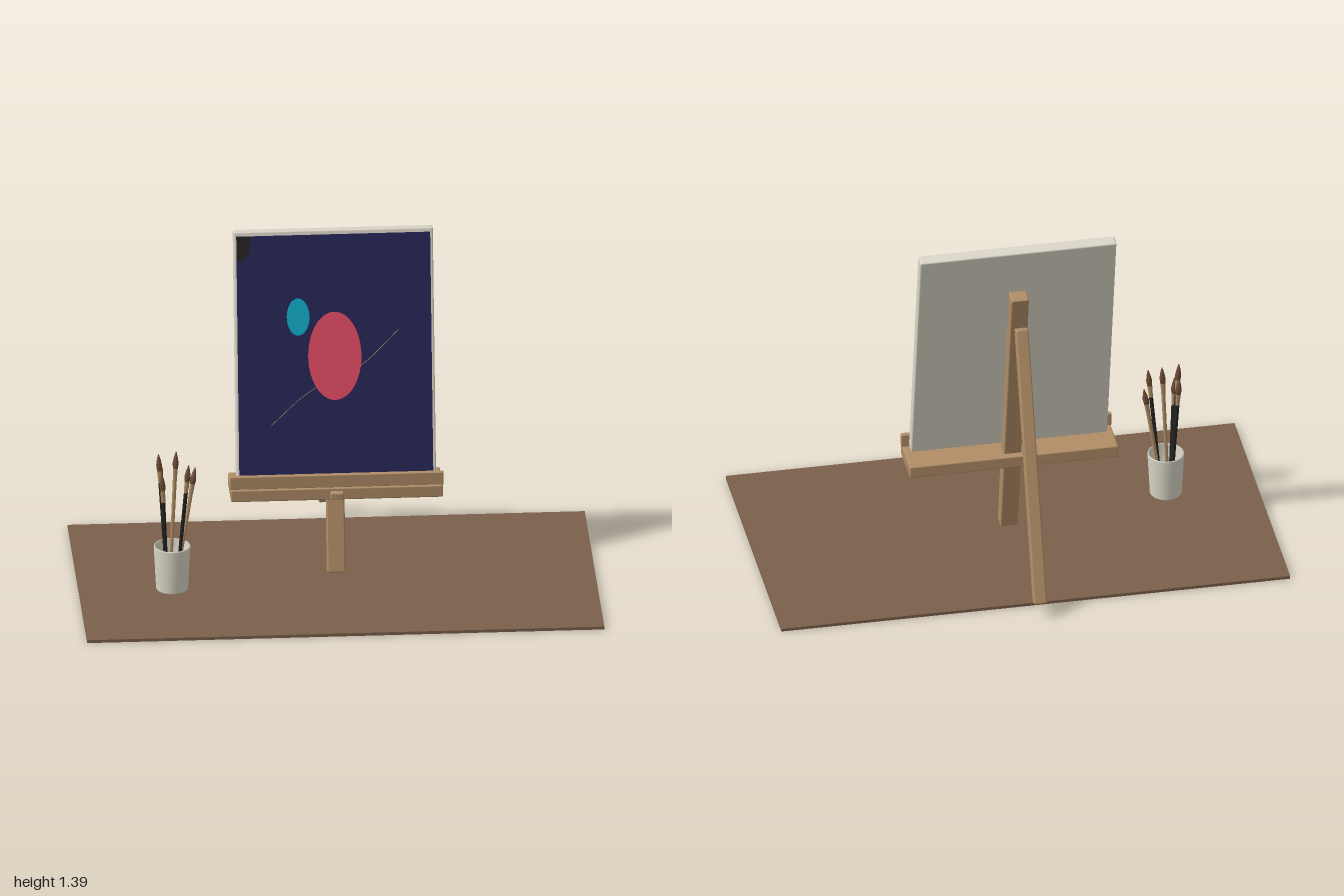
import * as THREE from 'three';
import { RoundedBoxGeometry } from 'three/addons/geometries/RoundedBoxGeometry.js';

const material = (name, color) => {
  const m = new THREE.MeshStandardMaterial({ color });
  m.name = name;
  return m;
};

export function createModel() {
  const wood = material('wood', 0xb08d66);
  const table = material('tableBrown', 0x7a604b);
  const cream = material('cream', 0xdbd6c8);
  const navy = material('navy', 0x252556);
  const red = material('red', 0xe04a62);
  const cyan = material('cyan', 0x10a8c4);
  const black = material('black', 0x232220);
  const bristle = material('bristleBrown', 0x6e4c34);

  const model = new THREE.Group();
  const add = (name, geometry, mat, x = 0, y = 0, z = 0, parent = model) => {
    const mesh = new THREE.Mesh(geometry, mat);
    mesh.name = name;
    mesh.position.set(x, y, z);
    parent.add(mesh);
    return mesh;
  };
  const block = (w, h, d, r = 0.006) => new RoundedBoxGeometry(w, h, d, 2, r);
  const lean = THREE.MathUtils.degToRad(11);

  // Table top
  add('tableTop', new THREE.BoxGeometry(2, 0.012, 1.126), table, 0, 0.006, 0.046);

  // Easel: leaning post, rear strut, shelf with lip and knob
  add('post', block(0.07, 1.19, 0.058), wood, 0, 0.617, -0.063).rotation.x = -lean;
  add('rearStrut', block(0.05, 1.087, 0.044), wood, 0, 0.569, -0.41)
    .rotation.x = THREE.MathUtils.degToRad(20);
  add('shelf', block(0.82, 0.05, 0.182), wood, 0, 0.38, 0.012);
  add('shelfLip', block(0.826, 0.054, 0.02, 0.004), wood, 0, 0.43, 0.085);
  add('knob', block(0.05, 0.028, 0.03, 0.005), wood, 0, 0.379, 0.112);

  // Leaning canvas with painted shapes as thin layers
  const canvas = new THREE.Group();
  canvas.name = 'canvas';
  canvas.position.set(0, 0.9015, -0.049);
  canvas.rotation.x = -lean;
  model.add(canvas);
  add('canvasFrame', block(0.772, 0.995, 0.047), cream, 0, 0, 0, canvas);
  add('paintedField', new THREE.BoxGeometry(0.75, 0.96, 0.004), navy, 0, 0, 0.0245, canvas);

  const layer = (name, shape, mat, x, y) => add(name,
    new THREE.ExtrudeGeometry(shape, { depth: 0.003, bevelEnabled: false, curveSegments: 24 }),
    mat, x, y, 0.0262, canvas);
  const oval = (rx, ry) => new THREE.Shape().absellipse(0, 0, rx, ry, 0, Math.PI * 2);
  layer('redOval', oval(0.103, 0.174), red, 0, 0);
  layer('cyanOval', oval(0.044, 0.073), cyan, -0.14, 0.157);
  const corner = new THREE.Shape();
  corner.moveTo(-0.375, 0.48);
  corner.lineTo(-0.375, 0.381);
  corner.bezierCurveTo(-0.345, 0.381, -0.32, 0.41, -0.32, 0.455);
  corner.lineTo(-0.32, 0.48);
  layer('darkCorner', corner, black, 0, 0);

  // Fine curved stroke across the painting
  const stroke = new THREE.CatmullRomCurve3([
    [-0.25, -0.27], [-0.1, -0.14], [0.1, -0.04], [0.25, 0.1],
  ].map(([x, y]) => new THREE.Vector3(x, y, 0.0268)));
  add('fineStroke', new THREE.TubeGeometry(stroke, 24, 0.0012, 5), wood, 0, 0, 0, canvas);

  // Hollow brush pot
  const profile = [[0, 0.022], [0.058, 0.022], [0.062, 0.027], [0.071, 0.2], [0.069, 0.205],
    [0.065, 0.203], [0.056, 0.035], [0, 0.035]].map(([r, y]) => new THREE.Vector2(r, y));
  add('brushPot', new THREE.LatheGeometry(profile, 32), cream, -0.641, 0, 0.152);

  // Brushes: tapered handle, ferrule and pointed bristles, from base to tip
  const brush = (base, tip, handleMat) => {
    const from = new THREE.Vector3(...base);
    const axis = new THREE.Vector3(...tip).sub(from);
    const length = axis.length();
    const group = new THREE.Group();
    group.name = 'brush';
    group.position.copy(from);
    group.quaternion.setFromUnitVectors(new THREE.Vector3(0, 1, 0), axis.normalize());
    const handle = length - 0.12;
    add('handle', new THREE.CylinderGeometry(0.008, 0.006, handle, 10), handleMat, 0, handle / 2, 0, group);
    add('ferrule', new THREE.CylinderGeometry(0.01, 0.008, 0.05, 10), wood, 0, handle + 0.025, 0, group);
    const tuft = [[0.01, 0], [0.012, 0.02], [0.008, 0.045], [0.001, 0.07]]
      .map(([r, y]) => new THREE.Vector2(r, y));
    add('bristles', new THREE.LatheGeometry(tuft, 10), bristle, 0, handle + 0.05, 0, group);
    model.add(group);
  };
  brush([-0.66, 0.04, 0.155], [-0.695, 0.595, 0.165], black);
  brush([-0.658, 0.04, 0.135], [-0.688, 0.555, 0.12], black);
  brush([-0.65, 0.04, 0.15], [-0.625, 0.597, 0.148], wood);
  brush([-0.625, 0.04, 0.165], [-0.58, 0.56, 0.2], black);
  brush([-0.625, 0.04, 0.14], [-0.55, 0.52, 0.128], wood);
  brush([-0.66, 0.04, 0.17], [-0.683, 0.52, 0.19], black);

  return model;
}
